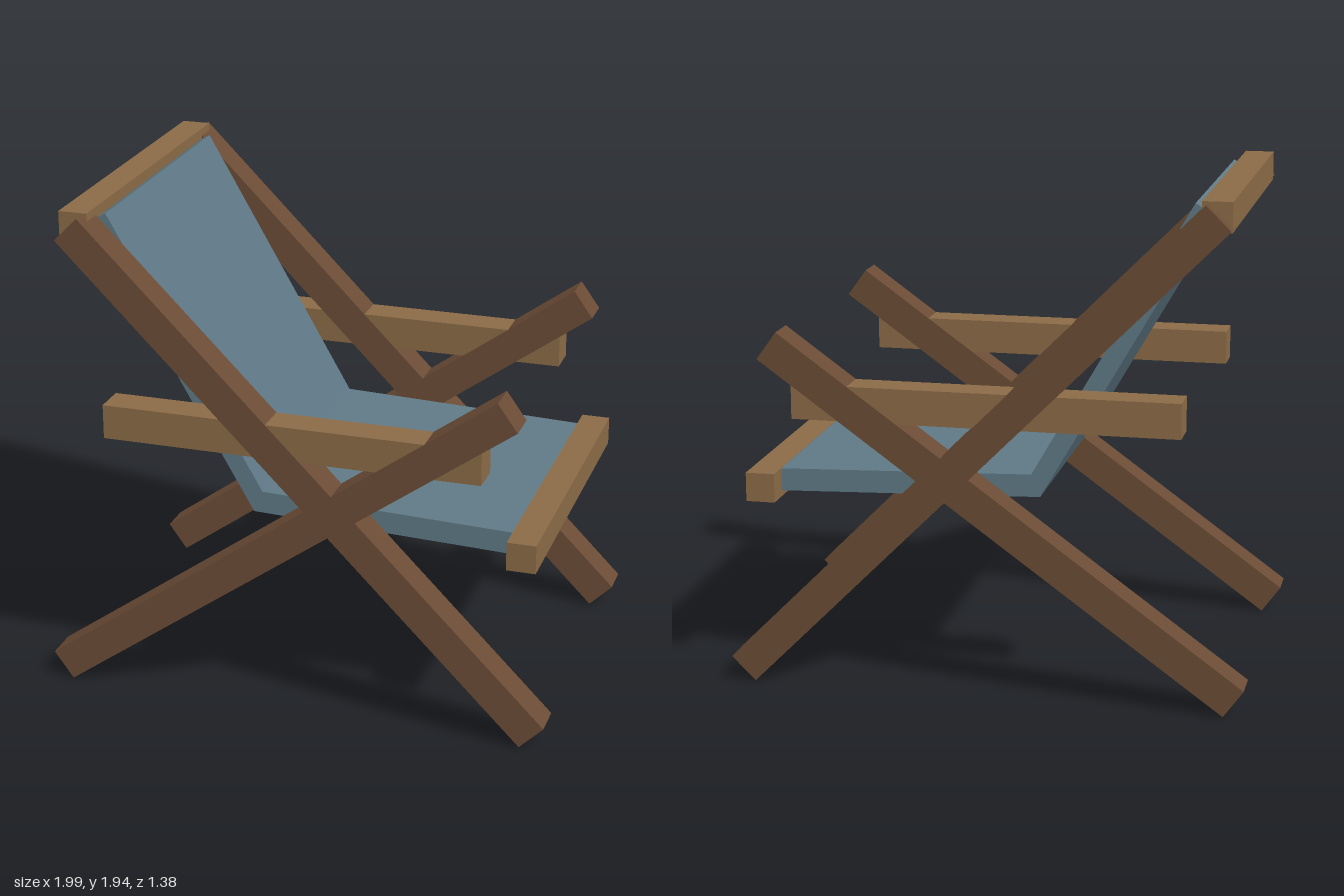
import * as THREE from 'three';

export function createModel() {
  const mat = (name, color) => {
    const m = new THREE.MeshStandardMaterial({ color });
    m.name = name;
    return m;
  };
  const darkWood = mat('darkWood', 0x6b4c36);
  const lightWood = mat('lightWood', 0x8b6b47);
  const fabric = mat('fabric', 0x5f7986);

  const chair = new THREE.Group();
  chair.name = 'foldingChair';

  const addBox = (name, material, size, position) => {
    const mesh = new THREE.Mesh(new THREE.BoxGeometry(...size), material);
    mesh.name = name;
    mesh.position.set(...position);
    chair.add(mesh);
    return mesh;
  };

  // Straight square beam between two points in the side plane
  const addBeam = (name, a, b, z) => {
    const dx = b[0] - a[0], dy = b[1] - a[1];
    const beam = addBox(name, darkWood, [Math.hypot(dx, dy), 0.131, 0.132],
      [(a[0] + b[0]) / 2, (a[1] + b[1]) / 2, z]);
    beam.rotation.z = Math.atan2(dy, dx);
  };

  // Crossed legs and armrest on each side
  for (const [side, s] of [['left', 1], ['right', -1]]) {
    const z = s * 0.626;
    addBeam(side + 'BackrestLeg', [0.95, 0.053], [-0.87, 1.885], z);
    addBeam(side + 'ArmLeg', [-0.96, 0.057], [0.827, 1.343], z);
    addBox(side + 'Armrest', lightWood, [1.482, 0.135, 0.13], [-0.007, 1.133, z]);
  }

  // Cross bars that hold the sling
  addBox('topBar', lightWood, [0.113, 0.113, 1.29], [-0.858, 1.883, 0]);
  addBox('frontBar', lightWood, [0.113, 0.113, 1.29], [0.88, 0.774, 0]);

  // Bent sling: backrest and seat in one folded strip
  const profile = new THREE.Shape([
    [-0.766, 1.916], [-0.829, 1.88], [-0.195, 0.776],
    [0.83, 0.741], [0.83, 0.829], [-0.16, 0.862],
  ].map(([x, y]) => new THREE.Vector2(x, y)));
  const slingGeometry = new THREE.ExtrudeGeometry(profile, { depth: 1.106, bevelEnabled: false });
  slingGeometry.translate(0, 0, -0.553);
  const sling = new THREE.Mesh(slingGeometry, fabric);
  sling.name = 'fabricSling';
  chair.add(sling);

  return chair;
}
